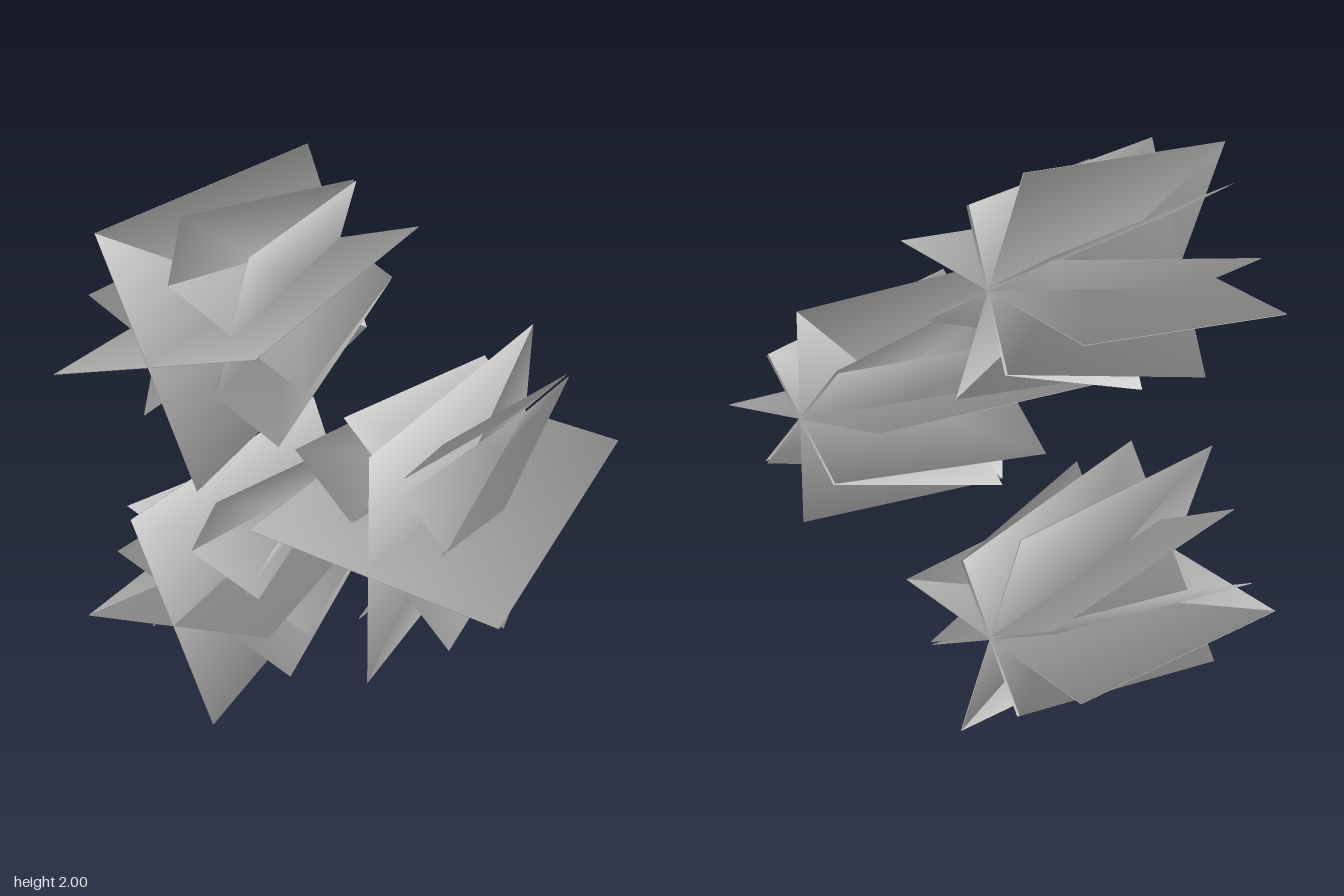
import * as THREE from 'three';

const BACK = -0.573;
const material = new THREE.MeshStandardMaterial({ color: 0xcccccc, side: THREE.DoubleSide });

// Soft foliage normal: spreads out from the root of the cluster
const leafNormal = (p) => new THREE.Vector3(p.x, p.y, (p.z + 0.54) * 0.6).normalize();

// Thin tapered sheet: front and back edges run along the same direction.
// Each edge is given by its centre (x, y, z) and half length.
function sheet(name, angle, front, frontHalf, back, backHalf) {
  const dir = new THREE.Vector3(Math.cos(angle), Math.sin(angle), 0);
  const corner = (c, h) => new THREE.Vector3(...c).addScaledVector(dir, h);
  const corners = [
    corner(front, -frontHalf), corner(front, frontHalf),
    corner(back, backHalf), corner(back, -backHalf),
  ];
  // Two faces a hair apart, so that each side has its own front
  const facing = new THREE.Vector3()
    .crossVectors(dir, corners[2].clone().sub(corners[1])).normalize();
  const points = [0.001, -0.001].flatMap((gap) =>
    corners.map((p) => p.clone().addScaledVector(facing, gap)));
  const normals = [...corners, ...corners].flatMap((p) => leafNormal(p).toArray());

  const geometry = new THREE.BufferGeometry().setFromPoints(points);
  geometry.setAttribute('normal', new THREE.Float32BufferAttribute(normals, 3));
  geometry.setIndex([0, 1, 2, 0, 2, 3, 6, 5, 4, 7, 6, 4]);
  const mesh = new THREE.Mesh(geometry, material);
  mesh.name = name;
  return mesh;
}

function leafCluster() {
  const cluster = new THREE.Group();
  cluster.name = 'leafCluster';

  // Two long sheets crossing on the axis
  for (const angle of [0, Math.PI / 2]) {
    cluster.add(sheet('crossLeaf', angle, [0, 0, 0.575], 0.461, [0, 0, BACK], 0.375));
  }

  // Two pairs of shorter sheets, each opening from the axis into a V
  for (const degrees of [53, -45]) {
    const angle = THREE.MathUtils.degToRad(degrees);
    for (const side of [-1, 1]) {
      const acrossX = -side * Math.sin(angle);
      const acrossY = side * Math.cos(angle);
      cluster.add(sheet('splayedLeaf', angle,
        [-0.015 + acrossX * 0.135, 0.01 + acrossY * 0.135, 0.362], 0.43,
        [-0.003 + acrossX * 0.005, acrossY * 0.005, BACK], 0.262));
    }
  }
  return cluster;
}

export function createModel() {
  const model = new THREE.Group();
  model.name = 'leafClusters';

  // x, y and turn in degrees of each cluster
  for (const [x, y, turn] of [[-0.427, 1.559, 200.5], [0.408, 1.049, 0], [-0.433, 0.445, -71]]) {
    const cluster = leafCluster();
    cluster.position.set(x, y, 0);
    cluster.rotation.z = THREE.MathUtils.degToRad(turn);
    model.add(cluster);
  }
  return model;
}
